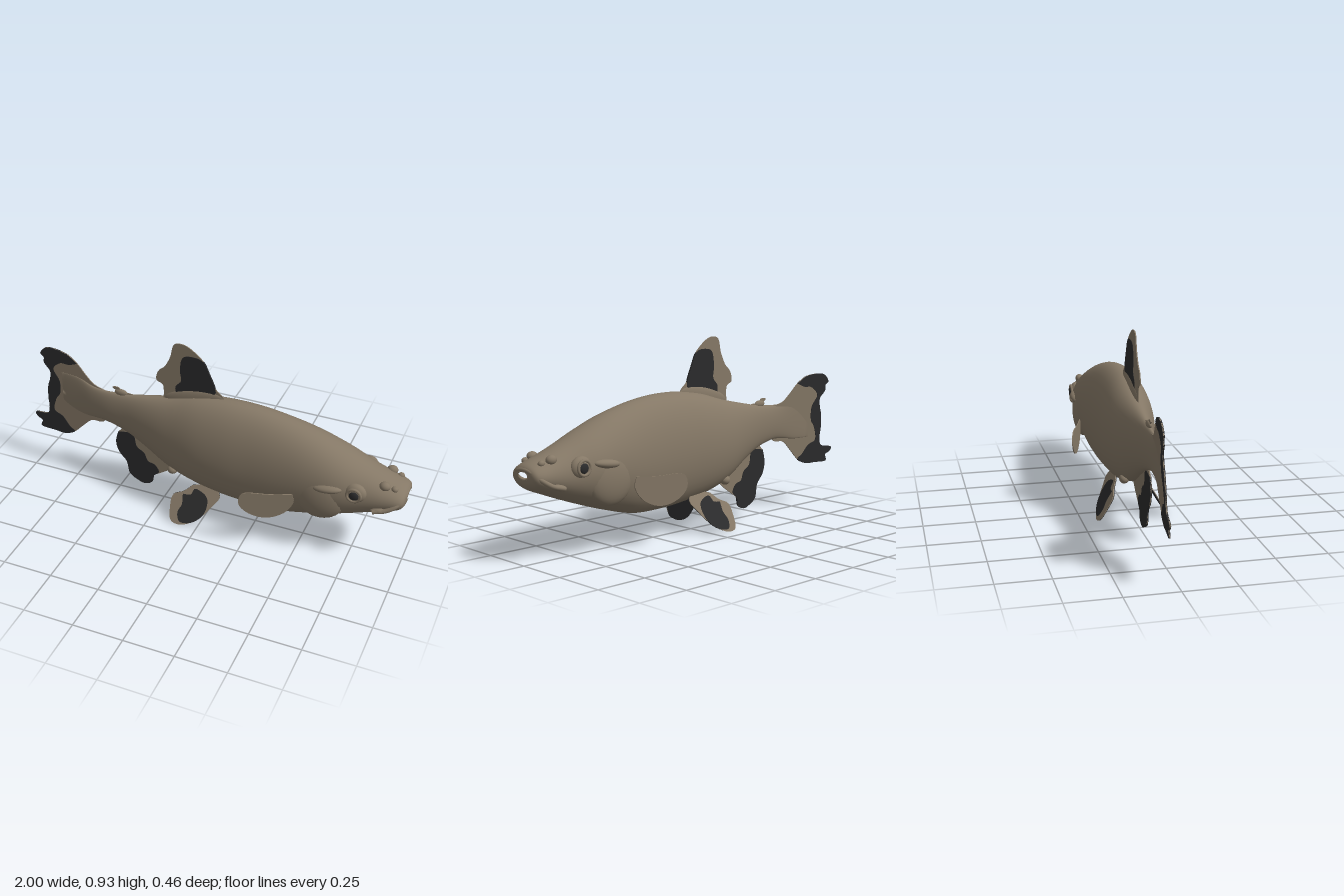
import * as THREE from 'three';

const skin = new THREE.MeshStandardMaterial({ color: 0x857866 });
skin.name = 'olive brown skin';
const dark = new THREE.MeshStandardMaterial({ color: 0x2b2b2c });
dark.name = 'charcoal marking';

function add(group, name, geometry, material) {
  const mesh = new THREE.Mesh(geometry, material);
  mesh.name = name;
  group.add(mesh);
  return mesh;
}

// Body stations: x, top, bottom, half width, centre z
const STATIONS = [
  [-0.82, 0.60, 0.38, 0.003, -0.042], [-0.72, 0.60, 0.38, 0.009, -0.031],
  [-0.64, 0.575, 0.39, 0.016, -0.022], [-0.56, 0.57, 0.39, 0.024, -0.016],
  [-0.45, 0.58, 0.36, 0.037, -0.013], [-0.34, 0.60, 0.305, 0.062, -0.011],
  [-0.2, 0.63, 0.225, 0.098, -0.009], [-0.05, 0.672, 0.18, 0.128, -0.005],
  [0.1, 0.692, 0.155, 0.137, 0], [0.25, 0.69, 0.145, 0.14, 0],
  [0.4, 0.668, 0.15, 0.145, 0], [0.55, 0.628, 0.187, 0.15, 0],
  [0.68, 0.577, 0.228, 0.147, 0], [0.8, 0.523, 0.27, 0.125, 0],
  [0.9, 0.482, 0.308, 0.11, 0], [0.965, 0.457, 0.335, 0.098, 0],
  [0.99, 0.44, 0.36, 0.078, 0], [0.998, 0.42, 0.388, 0.035, 0],
];

// Smooth loft through the stations, with a fuller belly than back
function bodyGeometry() {
  const heights = new THREE.CatmullRomCurve3(STATIONS.map(s => new THREE.Vector3(s[0], s[1], s[2])), false, 'catmullrom');
  const widths = new THREE.CatmullRomCurve3(STATIONS.map(s => new THREE.Vector3(s[0], s[3], s[4])), false, 'catmullrom');
  const rings = 85, sides = 40, pos = [], idx = [];
  for (let i = 0; i <= rings; i++) {
    const h = heights.getPoint(i / rings), w = widths.getPoint(i / rings);
    const mid = h.z + (h.y - h.z) * 0.48;
    for (let j = 0; j < sides; j++) {
      const a = j / sides * Math.PI * 2, c = Math.cos(a), s = Math.sin(a);
      const y = mid + s * (s > 0 ? h.y - mid : mid - h.z);
      const z = w.z + w.y * Math.sign(c) * Math.pow(Math.abs(c), s < 0 ? 0.85 : 1);
      pos.push(h.x, y, z);
      if (i < rings) {
        const k = i * sides, n = (j + 1) % sides;
        idx.push(k + j, k + sides + j, k + n, k + n, k + sides + j, k + sides + n);
      }
    }
  }
  // End caps
  for (const [ring, flip] of [[0, false], [rings, true]]) {
    const k = ring * sides;
    for (let j = 1; j < sides - 1; j++) {
      idx.push(k, ...(flip ? [k + j, k + j + 1] : [k + j + 1, k + j]));
    }
  }
  const g = new THREE.BufferGeometry();
  g.setAttribute('position', new THREE.Float32BufferAttribute(pos, 3));
  g.setIndex(idx);
  g.computeVertexNormals();
  return g;
}

// Thin plate from an x/y outline, sheared so that z follows a rule
function plate(points, thick, zRule) {
  const v = points.map(p => new THREE.Vector2(p[0], p[1]));
  const curve = new THREE.SplineCurve([...v, v[0]]);
  const shape = new THREE.Shape(curve.getPoints(points.length * 5).slice(0, -1));
  const g = new THREE.ExtrudeGeometry(shape, { depth: thick, bevelEnabled: false });
  const p = g.attributes.position;
  for (let i = 0; i < p.count; i++) p.setZ(i, p.getZ(i) - thick / 2 + zRule(p.getX(i), p.getY(i)));
  g.computeVertexNormals();
  return g;
}

function fin(group, name, outline, patch, zRule) {
  const f = new THREE.Group();
  f.name = name;
  add(f, name + 'Web', plate(outline, 0.005, zRule), skin);
  if (patch) add(f, name + 'Marking', plate(patch, 0.0085, zRule), dark);
  group.add(f);
  return f;
}

function ellipsoid(group, name, material, [x, y, z], [sx, sy, sz], tilt = 0) {
  const g = new THREE.SphereGeometry(1, 24, 16).scale(sx, sy, sz).rotateZ(tilt).translate(x, y, z);
  return add(group, name, g, material);
}

export function createModel() {
  const fish = new THREE.Group();
  fish.name = 'fish';
  add(fish, 'body', bodyGeometry(), skin);

  // Dorsal fin
  fin(fish, 'dorsalFin',
    [[-0.24, 0.61], [-0.24, 0.69], [-0.275, 0.715], [-0.265, 0.765], [-0.23, 0.80], [-0.2, 0.86],
      [-0.18, 0.93], [-0.13, 0.94], [-0.08, 0.915], [-0.03, 0.87], [0, 0.81], [0.03, 0.735], [0.07, 0.685], [-0.05, 0.64]],
    [[-0.17, 0.655], [-0.175, 0.7], [-0.145, 0.74], [-0.15, 0.8], [-0.135, 0.87], [-0.08, 0.885],
      [-0.03, 0.87], [0, 0.81], [0.03, 0.735], [0.02, 0.70], [-0.07, 0.675]],
    () => -0.004);
  // Thick root of the dorsal fin
  ellipsoid(fish, 'dorsalRoot', skin, [-0.08, 0.655, -0.004], [0.16, 0.045, 0.012], 0.2);

  // Small fleshy fin on the tail stalk
  fin(fish, 'adiposeFin',
    [[-0.5, 0.565], [-0.495, 0.585], [-0.52, 0.605], [-0.49, 0.61], [-0.46, 0.59], [-0.41, 0.585], [-0.43, 0.56]],
    null, () => -0.013);
  ellipsoid(fish, 'adiposeRoot', skin, [-0.475, 0.583, -0.013], [0.035, 0.018, 0.012]);

  // Tail fin with a dark ragged rear edge
  const tailEdge = [[-0.73, 0.67], [-0.79, 0.705], [-0.87, 0.715], [-0.92, 0.705], [-0.95, 0.67], [-0.93, 0.65],
    [-0.93, 0.62], [-0.895, 0.58], [-0.9, 0.53], [-0.912, 0.49], [-0.915, 0.42], [-0.91, 0.37], [-0.925, 0.325],
    [-0.998, 0.31], [-0.99, 0.285], [-0.96, 0.27], [-0.965, 0.235], [-0.88, 0.235], [-0.82, 0.236], [-0.76, 0.265]];
  fin(fish, 'tailFin',
    [[-0.56, 0.565], [-0.63, 0.58], [-0.68, 0.62], ...tailEdge, [-0.70, 0.325], [-0.65, 0.37], [-0.57, 0.395]],
    [...tailEdge, [-0.79, 0.29], [-0.83, 0.335], [-0.88, 0.36], [-0.865, 0.43], [-0.84, 0.47],
      [-0.84, 0.54], [-0.875, 0.60], [-0.83, 0.645], [-0.78, 0.65]],
    (x, y) => -0.015 + 0.11 * (x + 0.56) - 0.06 * (y - 0.47));

  // Anal fin
  const analEdge = [[-0.5, 0.345], [-0.515, 0.28], [-0.5, 0.22], [-0.46, 0.17], [-0.445, 0.10],
    [-0.4, 0.068], [-0.36, 0.057], [-0.32, 0.078], [-0.31, 0.12]];
  fin(fish, 'analFin',
    [...analEdge, [-0.26, 0.155], [-0.205, 0.195], [-0.18, 0.24], [-0.28, 0.33], [-0.43, 0.39]],
    [...analEdge, [-0.28, 0.15], [-0.30, 0.19], [-0.34, 0.205], [-0.36, 0.25], [-0.4, 0.28], [-0.42, 0.35]],
    () => -0.011);

  // Paired parts
  for (const [side, label] of [[1, 'left'], [-1, 'right']]) {
    const pair = new THREE.Group();
    pair.name = label + 'Side';
    fish.add(pair);

    // Pectoral fin, sweeping back and outward
    fin(pair, label + 'PectoralFin',
      [[0.48, 0.35], [0.487, 0.30], [0.455, 0.245], [0.4, 0.212], [0.34, 0.208], [0.28, 0.235],
        [0.245, 0.28], [0.248, 0.33], [0.28, 0.35], [0.38, 0.345]],
      null, x => side * (0.145 + (0.48 - x) * 0.35));

    // Pelvic fin, splayed outward, with a fully dark inner face
    const pelvicZ = (x, y) => side * (0.075 + (0.185 - y) * 0.56);
    const pelvic = [[-0.06, 0.19], [-0.1, 0.155], [-0.15, 0.13], [-0.155, 0.08], [-0.14, 0.02], [-0.09, 0.008],
      [-0.03, 0.03], [0.02, 0.07], [0.06, 0.12], [0.09, 0.17], [0.04, 0.21]];
    const pf = fin(pair, label + 'PelvicFin', pelvic,
      [[-0.10, 0.145], [-0.095, 0.1], [-0.11, 0.06], [-0.09, 0.022], [-0.03, 0.03], [0.02, 0.07],
        [0.035, 0.12], [0.02, 0.16], [-0.04, 0.18], [-0.06, 0.15]], pelvicZ);
    add(pf, label + 'PelvicInnerFace', plate(pelvic, 0.003, (x, y) => pelvicZ(x, y) - side * 0.003), dark);
    ellipsoid(pair, label + 'VentBump', skin, [-0.18, 0.235, side * 0.05 - 0.008], [0.026, 0.024, 0.024]);

    // Gill cover and the ridge above it
    ellipsoid(pair, label + 'GillCover', skin, [0.6, 0.36, side * 0.108], [0.13, 0.13, 0.05]);
    ellipsoid(pair, label + 'GillRidge', skin, [0.64, 0.428, side * 0.132], [0.075, 0.022, 0.033], 0.12);

    // Eye: socket, rim and pupil
    ellipsoid(pair, label + 'EyeSocket', skin, [0.77, 0.425, side * 0.113], [0.055, 0.05, 0.031]);
    const rim = new THREE.TorusGeometry(0.033, 0.007, 10, 28).translate(0.77, 0.425, side * 0.138);
    add(pair, label + 'EyeRim', rim, skin);
    ellipsoid(pair, label + 'Pupil', dark, [0.772, 0.424, side * 0.14], [0.023, 0.023, 0.009]);

    // Nostril bumps
    ellipsoid(pair, label + 'Nostril', skin, [0.895, 0.467, side * 0.068], [0.026, 0.022, 0.022]);
    ellipsoid(pair, label + 'FrontNostril', skin, [0.94, 0.455, side * 0.058], [0.016, 0.014, 0.014]);

    // Drooping mouth corner
    ellipsoid(pair, label + 'MouthCorner', skin, [0.885, 0.35, side * 0.107], [0.04, 0.014, 0.018], 0.2);
  }

  // Upper lip arching around the snout
  const lip = [[0.86, 0.343, 0.118], [0.92, 0.36, 0.108], [0.965, 0.39, 0.09], [0.985, 0.418, 0.05]];
  const lipPath = [...lip, [0.988, 0.427, 0], ...lip.slice().reverse().map(([x, y, z]) => [x, y, -z])];
  add(fish, 'upperLip', new THREE.TubeGeometry(
    new THREE.CatmullRomCurve3(lipPath.map(p => new THREE.Vector3(...p))), 60, 0.011, 10), skin);

  return fish;
}
